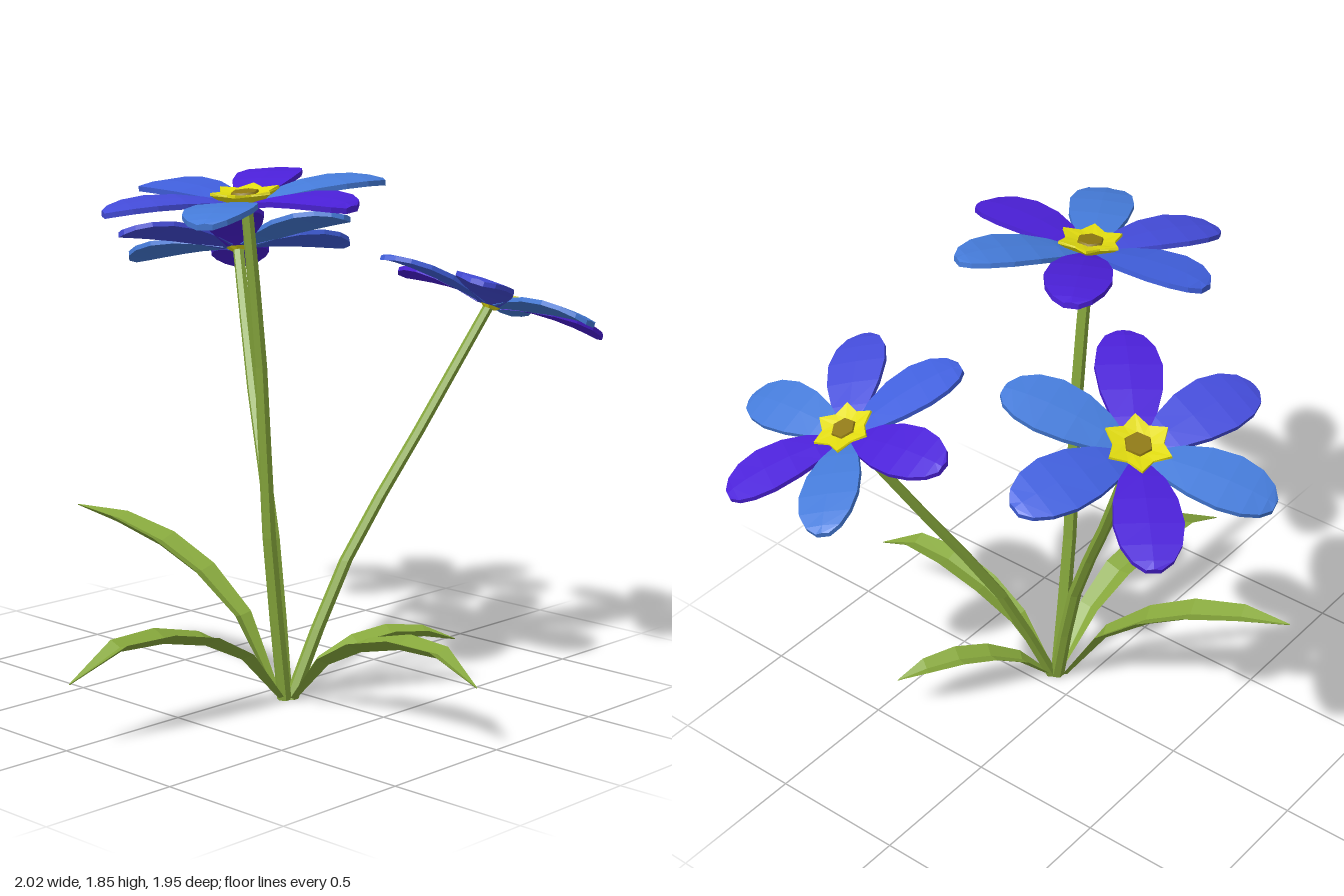
import * as THREE from 'three';

const mat = (name, color) => {
  const m = new THREE.MeshStandardMaterial({ color });
  m.name = name;
  return m;
};
const V = (x, y, z) => new THREE.Vector3(x, y, z);

// Closed faceted solid through equal-sized rings of points, capped at both ends
function loft(rings) {
  const tris = [];
  const n = rings[0].length;
  for (let i = 0; i < rings.length - 1; i++) {
    for (let j = 0; j < n; j++) {
      const k = (j + 1) % n;
      const a = rings[i][j], b = rings[i][k], c = rings[i + 1][k], d = rings[i + 1][j];
      tris.push([a, b, c], [a, c, d]);
    }
  }
  const cap = (ring, flip) => {
    const mid = ring.reduce((s, p) => s.add(p), V(0, 0, 0)).divideScalar(n);
    ring.forEach((p, j) => {
      const q = ring[(j + 1) % n];
      tris.push(flip ? [mid, q, p] : [mid, p, q]);
    });
  };
  cap(rings[0], true);
  cap(rings[rings.length - 1], false);
  // turn every face outward
  const volume = tris.reduce((s, [a, b, c]) => s + a.dot(b.clone().cross(c)), 0);
  if (volume < 0) tris.forEach(t => t.reverse());
  const g = new THREE.BufferGeometry().setFromPoints(tris.flat());
  g.computeVertexNormals();
  return g;
}

function add(parent, name, geometry, material) {
  const m = new THREE.Mesh(geometry, material);
  m.name = name;
  parent.add(m);
  return m;
}

// Rounded, gently arched petal growing along -z
function petalGeometry() {
  // distance, half width, height
  const rows = [
    [0.04, 0.04, 0.0], [0.12, 0.073, 0.02], [0.22, 0.104, 0.036], [0.32, 0.114, 0.042],
    [0.4, 0.098, 0.039], [0.455, 0.066, 0.031], [0.483, 0.025, 0.022]
  ];
  const t = 0.018;
  return loft(rows.map(([r, w, y]) => [
    V(-w, y, -r), V(0, y + 0.004, -r), V(w, y, -r),
    V(w, y - t, -r), V(0, y - t, -r), V(-w, y - t, -r)
  ]));
}

// Six-pointed crown, narrowing underneath to meet the stem
function crownGeometry() {
  const ring = (tip, valley, yTip, yValley) => Array.from({ length: 12 }, (_, i) => {
    const a = i * Math.PI / 6;
    const r = i % 2 ? valley : tip;
    return V(Math.sin(a) * r, i % 2 ? yValley : yTip, -Math.cos(a) * r);
  });
  return loft([
    ring(0.024, 0.024, -0.03, -0.03), ring(0.12, 0.085, 0.034, 0.03),
    ring(0.118, 0.083, 0.044, 0.036), ring(0.05, 0.045, 0.03, 0.03)
  ]);
}

// Six-sided stem through a few points
function stemGeometry(points) {
  const curve = new THREE.CatmullRomCurve3(points.map(p => V(...p)));
  const steps = 6;
  return loft(Array.from({ length: steps + 1 }, (_, i) => {
    const t = i / steps;
    const c = curve.getPoint(t);
    const r = 0.026 - 0.005 * t;
    return Array.from({ length: 6 }, (_, j) => {
      const a = j * Math.PI / 3;
      return V(c.x + Math.cos(a) * r, c.y, c.z + Math.sin(a) * r);
    });
  }));
}

// Pointed leaf with a grooved upper side
function leafGeometry(points, width) {
  const profile = [0.25, 0.7, 0.95, 1, 0.78, 0.03];
  const pts = points.map(p => V(...p));
  return loft(pts.map((p, i) => {
    const dir = pts[Math.min(i + 1, 5)].clone().sub(pts[Math.max(i - 1, 0)]).normalize();
    const side = V(-dir.z, 0, dir.x).normalize();
    const up = side.clone().cross(dir).normalize();
    const w = width * profile[i];
    const at = (s, u) => p.clone().addScaledVector(side, s).addScaledVector(up, u);
    return [at(-w, w * 0.35), at(0, 0), at(w, w * 0.35), at(0, -0.018 * profile[i] - 0.002)];
  }));
}

export function createModel() {
  const root = new THREE.Group();
  root.name = 'floweringPlant';

  const green = mat('leaf green', 0x87a83c);
  const yellow = mat('crown yellow', 0xe2dc10);
  const ochre = mat('centre ochre', 0x8e7810);
  const L = mat('light blue', 0x457bd9);
  const M = mat('mid blue', 0x405fdc);
  const I = mat('indigo blue', 0x434bd8);
  const P = mat('violet', 0x4b20d8);

  const petal = petalGeometry();
  const crown = crownGeometry();

  // Flowers: centre, facing direction, turn, size, petal colours clockwise, stem path
  const flowers = [
    {
      at: [-0.285, 1.765, 0.12], face: [-0.12, 1, 0.02], turn: 0, size: 1,
      colours: [M, P, L, P, L, I],
      stem: [[-0.09, 0, 0.11], [-0.17, 0.6, 0.115], [-0.215, 1.2, 0.12], [-0.28, 1.75, 0.12]]
    },
    {
      at: [0.305, 1.54, -0.525], face: [0.18, 1, -0.27], turn: -0.24, size: 0.98,
      colours: [L, P, M, L, P, I],
      stem: [[-0.075, 0, 0.1], [0.025, 0.54, -0.06], [0.155, 1.03, -0.29], [0.3, 1.525, -0.515]]
    },
    {
      at: [0.64, 1.375, 0.425], face: [0.37, 1, 0.12], turn: 0, size: 0.91,
      colours: [P, L, P, L, I, M],
      stem: [[-0.065, 0, 0.12], [0.14, 0.48, 0.19], [0.385, 0.92, 0.305], [0.63, 1.36, 0.42]]
    }
  ];
  flowers.forEach(f => {
    add(root, 'stem', stemGeometry(f.stem), green);
    const flower = new THREE.Group();
    flower.name = 'flower';
    flower.position.set(...f.at);
    flower.quaternion.setFromUnitVectors(V(0, 1, 0), V(...f.face).normalize());
    flower.scale.setScalar(f.size);
    const head = new THREE.Group();
    head.name = 'flowerHead';
    head.rotation.y = -f.turn;
    flower.add(head);
    f.colours.forEach((c, i) => {
      add(head, 'petal', petal, c).rotation.y = -i * Math.PI / 3;
    });
    add(head, 'crown', crown, yellow);
    add(head, 'flowerCentre', new THREE.CylinderGeometry(0.046, 0.05, 0.009, 6).toNonIndexed(), ochre)
      .position.y = 0.033;
    root.add(flower);
  });

  // Leaves arching out from the base
  const leaves = [
    [0.062, [[-0.11, 0.01, 0.11], [-0.28, 0.195, 0.1], [-0.44, 0.28, 0.085], [-0.62, 0.32, 0.065], [-0.8, 0.32, 0.045], [-1, 0.23, 0.02]]],
    [0.062, [[-0.08, 0.01, 0.15], [-0.075, 0.175, 0.3], [-0.07, 0.255, 0.45], [-0.07, 0.3, 0.63], [-0.07, 0.3, 0.8], [-0.07, 0.22, 0.97]]],
    [0.066, [[-0.09, 0.01, 0.07], [-0.11, 0.27, -0.09], [-0.14, 0.41, -0.26], [-0.175, 0.5, -0.43], [-0.215, 0.56, -0.62], [-0.255, 0.59, -0.8]]],
    [0.055, [[-0.05, 0.01, 0.12], [0.05, 0.12, 0.17], [0.16, 0.18, 0.23], [0.27, 0.205, 0.29], [0.38, 0.2, 0.355], [0.47, 0.17, 0.42]]]
  ];
  leaves.forEach(([w, pts]) => add(root, 'leaf', leafGeometry(pts, w), green));

  return root;
}
